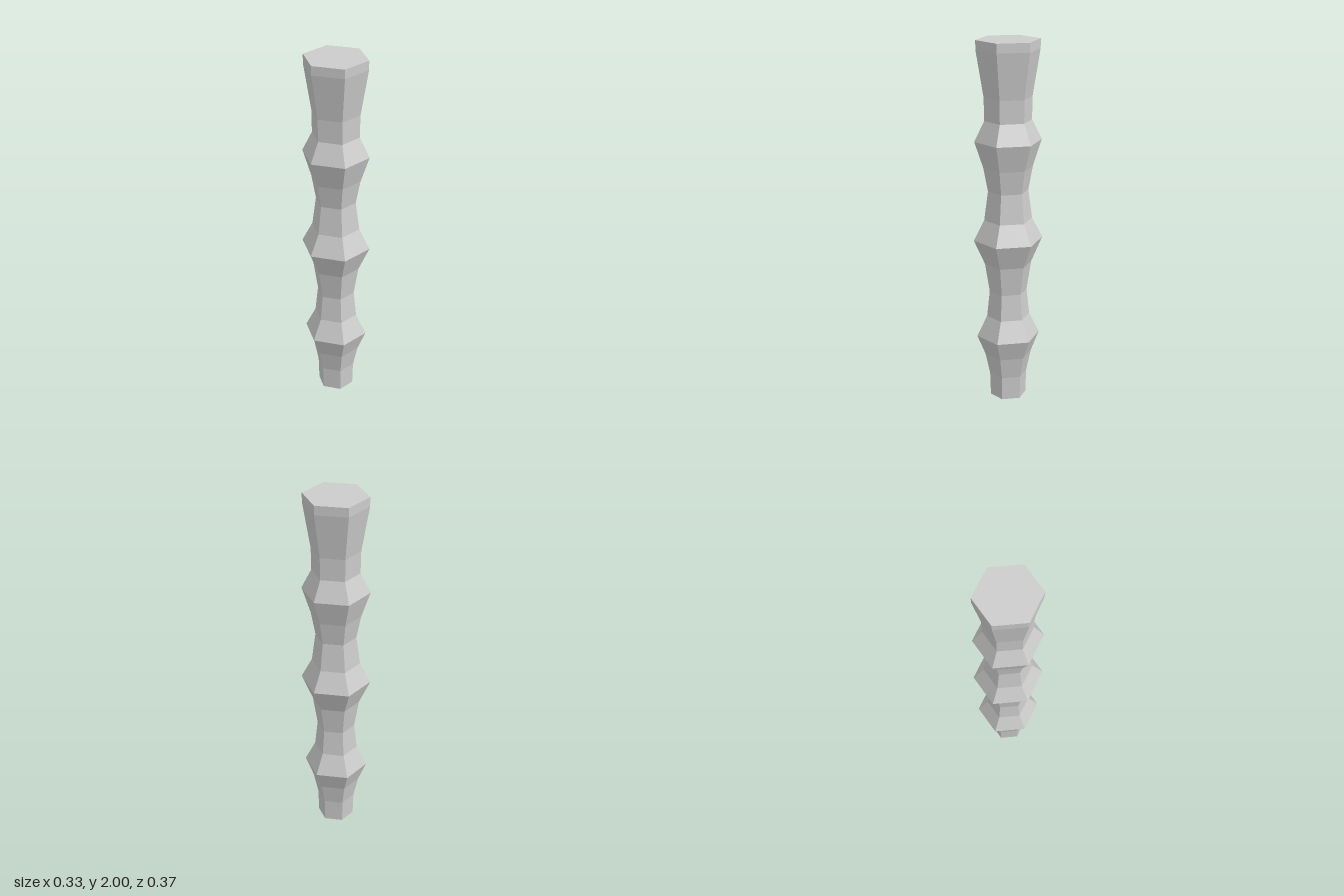
import * as THREE from 'three';

export function createModel() {
  const group = new THREE.Group();
  group.name = 'ribbedStalk';
  const material = new THREE.MeshStandardMaterial({
    color: 0xcccccc, flatShading: true, side: THREE.DoubleSide,
  });
  const sides = 6;
  const widen = 1.02; // slightly broader across x

  // Profile from the open bottom to the top rim: [corner radius, height]
  const profile = [
    [0.098, 0], [0.102, 0.13], [0.128, 0.25],
    [0.172, 0.36], [0.117, 0.475], [0.102, 0.62], [0.127, 0.78],
    [0.187, 0.917], [0.13, 1.03], [0.109, 1.19], [0.133, 1.32],
    [0.18, 1.465], [0.127, 1.575], [0.129, 1.7],
    [0.17, 1.95], [0.17, 2],
  ].map(([r, y]) => new THREE.Vector2(r, y));

  // Hollow six-sided shaft with three sharp rings
  const shaftGeometry = new THREE.LatheGeometry(profile, sides).scale(widen, 1, 1).toNonIndexed();
  shaftGeometry.computeVertexNormals();
  const shaft = new THREE.Mesh(shaftGeometry, material);
  shaft.name = 'shaft';
  group.add(shaft);

  // Flat lid closing the top; the bottom stays open
  const capGeometry = new THREE.CircleGeometry(0.17, sides, Math.PI / 2);
  capGeometry.rotateX(-Math.PI / 2).scale(widen, 1, 1).translate(0, 2, 0);
  const cap = new THREE.Mesh(capGeometry, material);
  cap.name = 'topCap';
  group.add(cap);

  return group;
}
